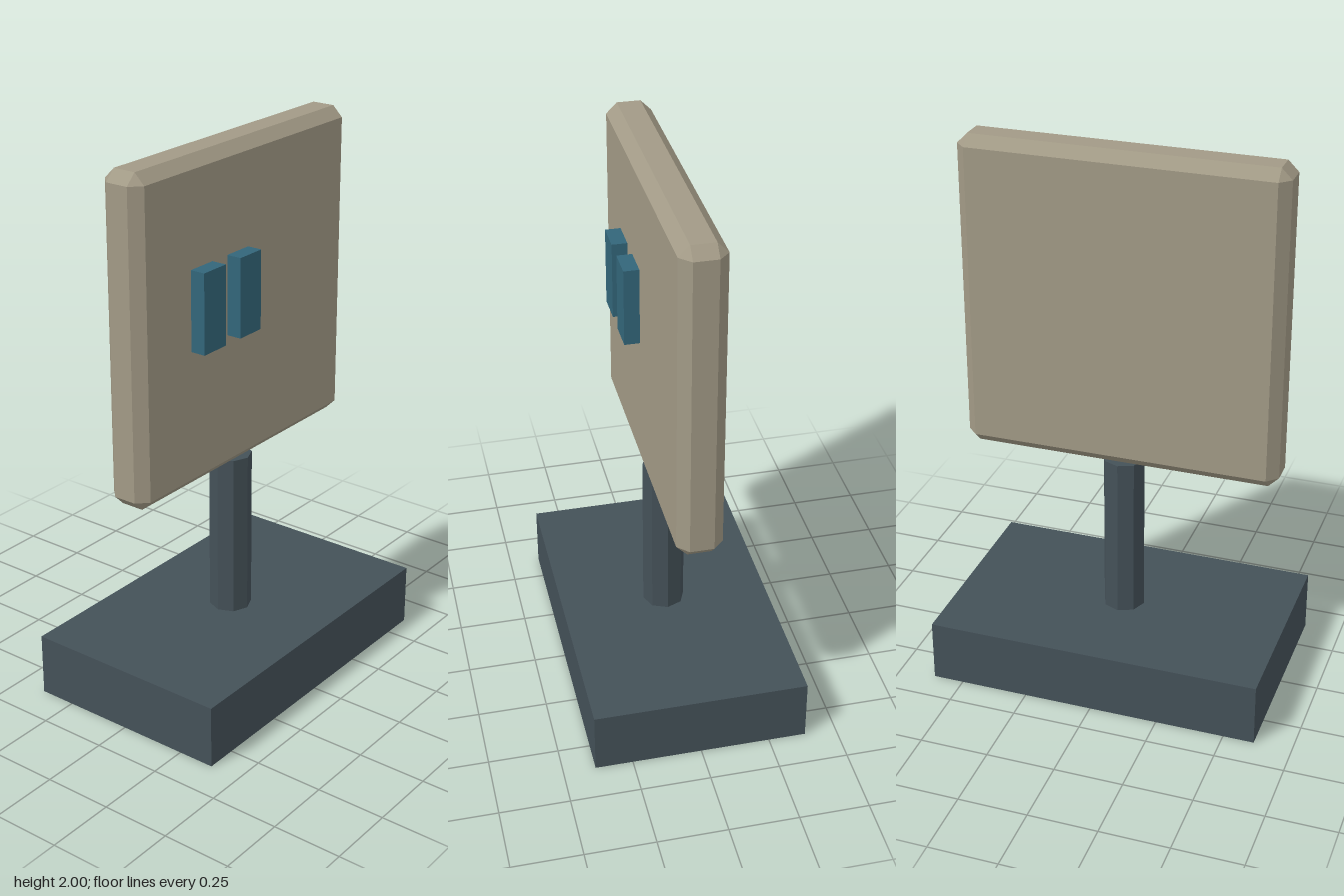
import * as THREE from 'three';
import { ConvexGeometry } from 'three/addons/geometries/ConvexGeometry.js';

const material = (color) => new THREE.MeshStandardMaterial({ color, flatShading: true });

function addPart(group, name, geometry, mat, x, y, z) {
  const mesh = new THREE.Mesh(geometry, mat);
  mesh.name = name;
  mesh.position.set(x, y, z);
  group.add(mesh);
}

// Box with bevelled edges and triangular corners
function chamferedBox(w, h, d, c) {
  const points = [];
  for (const sx of [-1, 1]) for (const sy of [-1, 1]) for (const sz of [-1, 1]) {
    for (let axis = 0; axis < 3; axis++) {
      const inset = [0, 1, 2].map((i) => (i === axis ? 0 : c));
      points.push(new THREE.Vector3(
        sx * (w / 2 - inset[0]), sy * (h / 2 - inset[1]), sz * (d / 2 - inset[2])));
    }
  }
  return new ConvexGeometry(points);
}

export function createModel() {
  const model = new THREE.Group();
  model.name = 'signStand';
  const slate = material(0x445158);
  const tan = material(0xa29a86);
  const blue = material(0x33667a);

  // Base block and octagonal post
  addPart(model, 'base', new THREE.BoxGeometry(1.225, 0.23, 0.77), slate, 0, 0.115, 0);
  addPart(model, 'post', new THREE.CylinderGeometry(0.077, 0.077, 0.61, 8), slate, 0, 0.535, 0);

  // Bevelled panel on top
  addPart(model, 'panel', chamferedBox(1.16, 1.16, 0.16, 0.038), tan, 0, 1.42, 0);

  // Two raised bars on the panel's front
  for (const [name, x] of [['rightBar', -0.26], ['leftBar', -0.065]]) {
    addPart(model, name, new THREE.BoxGeometry(0.115, 0.285, 0.055), blue, x, 1.487, 0.1075);
  }
  return model;
}
